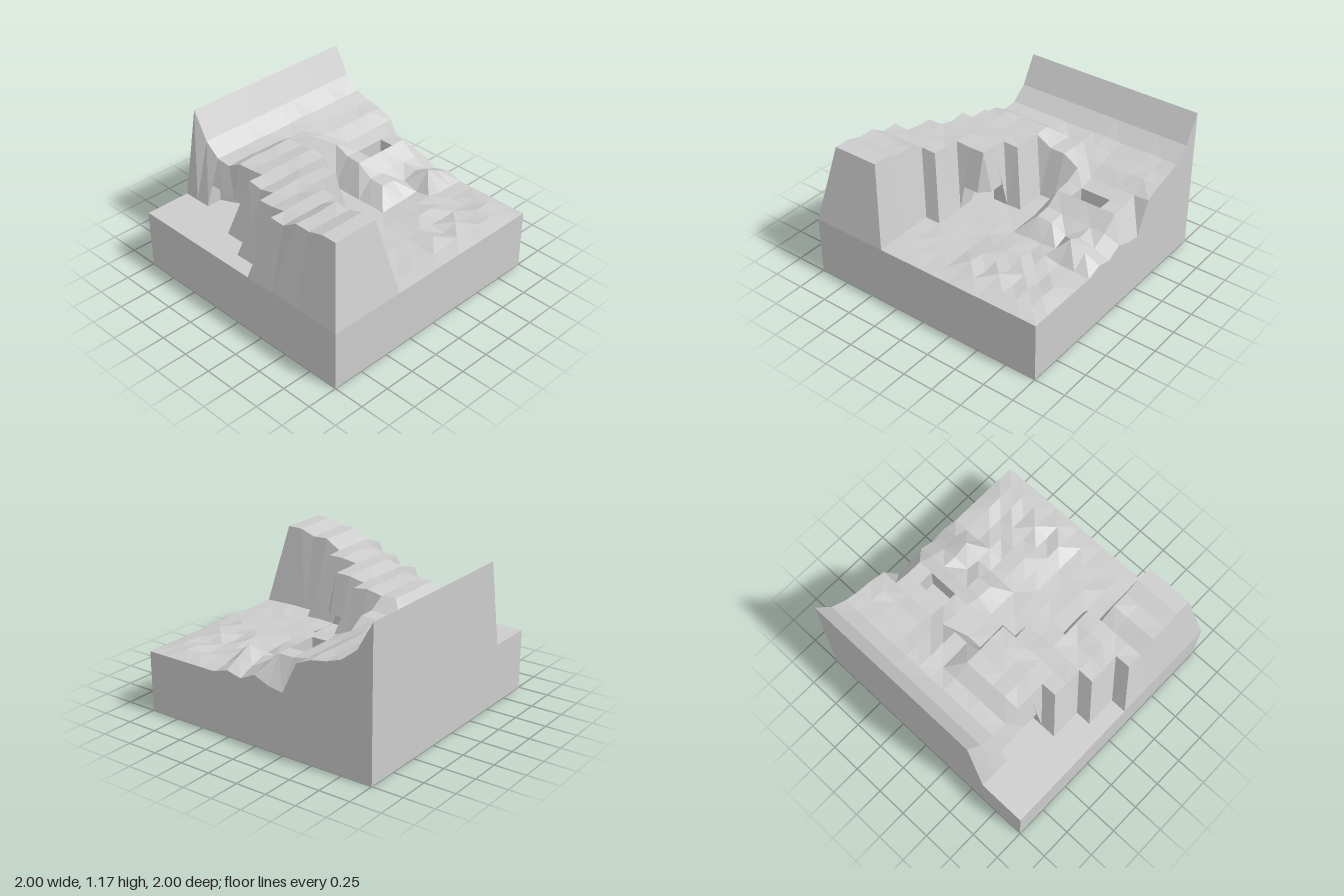
import * as THREE from 'three';

const N = 16, STEP = 2 / N, GROUND = 0.48, CEIL = 0.645;
const at = (i) => -1 + i * STEP;

// Cross profile of the high ridge, and the first and last high row of each column
const RIDGE = [1.17, 0.95, 0.85, 0.845, 0.92, 0.92, 0.94, 0.93, 0.96, 0.96, 0.99, 0.99, 1.06, 1.06, 1.1, 1.1];
const FIRST = [0, 0, 0, 0, 0, 0, 8, 8, 9, 9, 11, 11, 12, 12, 12, 12];
const LAST = [12, 12, 12, 12, 12, 12, 13, 13, 14, 14, 15, 15, 15, 15, 15, 15];

// Lower hill behind the ridge: columns x = -0.25 .. 0.25, rows from the back edge
const HILL = [
  [0.48, 0.5, 0.55, 0.49, 0.52],
  [0.7, 0.7, 0.6, 0.54, 0.58],
  [0.7, 0.7, 0.6, 0.58, 0.64],
  [0.7, 0.7, 0.61, 0.54, 0.5],
  [0.7, 0.7, 0.61, 0.6, 0.49],
  [0.71, 0.7, 0.62, 0.61, 0.49],
];

const wobble = (i, j) => {
  const s = Math.sin(i * 12.99 + j * 78.23) * 43758.55;
  return s - Math.floor(s);
};

function height(i, j) {
  if (i === N || j === N) return GROUND;
  if (j >= FIRST[i] && j <= LAST[i]) {
    const ripple = i > 1 && i < 14 ? (wobble(i, j) - 0.5) * 0.012 : 0;
    if (j < 8 && i > 2) { // the shelf steps down toward the back
      const tier = j > 5 ? 0 : j === 5 ? 1 : 2;
      return { 3: [0.83, 0.82, 0.81], 4: [0.84, 0.8, 0.79], 5: [0.84, 0.76, 0.73] }[i][tier] + ripple;
    }
    return RIDGE[i] + ripple;
  }
  if (j > LAST[i]) return GROUND;
  if (j < HILL.length && i >= 6 && i <= 10) return HILL[j][i - 6];
  if (j === 0) return GROUND;
  // gentle bumps on the low ground
  return i > 10 && j < 7 ? GROUND + 0.045 * wobble(i, j) : GROUND + 0.01 * wobble(i, j);
}

const point = (i, j) => [at(i), height(i, j), at(j)];

// Collects flat faces, given counter-clockwise, into one mesh
function facesMesh(name, faces, side = THREE.FrontSide) {
  const pos = [];
  for (const f of faces)
    for (let k = 1; k < f.length - 1; k++) pos.push(...f[0], ...f[k], ...f[k + 1]);
  const geo = new THREE.BufferGeometry();
  geo.setAttribute('position', new THREE.Float32BufferAttribute(pos, 3));
  geo.computeVertexNormals();
  const mesh = new THREE.Mesh(geo, new THREE.MeshStandardMaterial({ color: 0xcccccc, flatShading: true, side }));
  mesh.name = name;
  return mesh;
}

// Horizontal plate from a plan outline of [x, z] points
function plate(name, outline, y) {
  const geo = new THREE.ShapeGeometry(new THREE.Shape(outline.map(([x, z]) => new THREE.Vector2(x, -z))));
  geo.rotateX(-Math.PI / 2);
  const mesh = new THREE.Mesh(geo, new THREE.MeshStandardMaterial({ color: 0xcccccc, flatShading: true, side: THREE.DoubleSide }));
  mesh.position.y = y;
  mesh.name = name;
  return mesh;
}

// Cells left open for the pit and the two tunnel mouths
const OPEN = new Set(['6,2', '6,3', '2,12', '3,12', '4,12', '8,8', '9,8', '9,9']);

function terrain() {
  const faces = [];
  for (let i = 0; i < N; i++) {
    for (let j = 0; j < N; j++) {
      if (OPEN.has(`${i},${j}`)) continue;
      const a = point(i, j), b = point(i, j + 1), c = point(i + 1, j + 1), d = point(i + 1, j);
      // split along the steeper diagonal
      if (Math.abs(a[1] - c[1]) > Math.abs(b[1] - d[1])) faces.push([a, b, c], [a, c, d]);
      else faces.push([a, b, d], [b, c, d]);
    }
  }
  return facesMesh('terrain', faces);
}

function base() {
  const faces = [];
  const drop = (p, q) => faces.push([[p[0], 0, p[2]], [q[0], 0, q[2]], q, p]);
  for (let k = 0; k < N; k++) {
    drop(point(k, N), point(k + 1, N));
    drop(point(k + 1, 0), point(k, 0));
    drop(point(0, k), point(0, k + 1));
    drop(point(N, k + 1), point(N, k));
  }
  faces.push([[-1, 0, -1], [1, 0, -1], [1, 0, 1], [-1, 0, 1]]);
  return facesMesh('base', faces);
}

function pit() {
  const rim = [[6, 2], [6, 3], [6, 4], [7, 4], [7, 3], [7, 2]].map(([i, j]) => point(i, j));
  const low = rim.map(([x, , z]) => [x, GROUND, z]);
  const faces = rim.map((p, k) => {
    const n = (k + 1) % rim.length;
    return [p, rim[n], low[n], low[k]];
  });
  faces.push(low);
  return facesMesh('pit', faces, THREE.DoubleSide);
}

function tunnel() {
  const g = new THREE.Group();
  g.name = 'tunnel';
  const faces = [];
  // rock above the front mouth
  const lip = 0.57;
  for (let i = 2; i < 5; i++)
    faces.push([point(i, 12), [at(i), CEIL, lip], [at(i + 1), CEIL, lip], point(i + 1, 12)]);
  // rock above the corner mouth
  const p = point(8, 9), q = point(9, 9), r = point(9, 10);
  const l = [[0, CEIL, 0.05], [0.125, CEIL, 0.05], [0.2, CEIL, 0.125], [0.2, CEIL, 0.25]];
  faces.push([p, q, l[1], l[0]], [q, l[2], l[1]], [q, r, l[3], l[2]]);
  // cheeks: [inner x, z], [lip x, z], [foot x, z]
  const cheeks = [
    [[-0.75, 0.5], [-0.75, lip], [-0.75, 0.625]],
    [[-0.375, 0.5], [-0.375, lip], [-0.375, 0.625]],
    [[0, 0.125], [0, 0.05], [0, 0]],
    [[0.125, 0.25], [0.2, 0.25], [0.25, 0.25]],
  ];
  for (const [a, b, c] of cheeks)
    faces.push([[a[0], GROUND, a[1]], [c[0], GROUND, c[1]], [b[0], CEIL, b[1]], [a[0], CEIL, a[1]]]);
  // long side walls
  for (const [a, b] of [[0, 2], [1, 3]]) {
    const [s, e] = [cheeks[a][0], cheeks[b][0]];
    faces.push([[s[0], GROUND, s[1]], [e[0], GROUND, e[1]], [e[0], CEIL, e[1]], [s[0], CEIL, s[1]]]);
  }
  g.add(facesMesh('tunnelWalls', faces, THREE.DoubleSide));
  g.add(plate('tunnelCeiling', [[-0.75, lip], [-0.75, 0.5], [0, 0.125], [0, 0.05], [0.125, 0.05],
    [0.2, 0.125], [0.2, 0.25], [0.125, 0.25], [-0.375, 0.5], [-0.375, lip]], CEIL));
  g.add(plate('tunnelFloor', [[-0.75, 0.625], [-0.75, 0.5], [0, 0.125], [0, 0], [0.25, 0],
    [0.25, 0.25], [0.125, 0.25], [-0.375, 0.5], [-0.375, 0.625]], GROUND));
  return g;
}

export function createModel() {
  const model = new THREE.Group();
  model.name = 'terrainTile';
  model.add(terrain(), base(), pit(), tunnel());
  return model;
}
